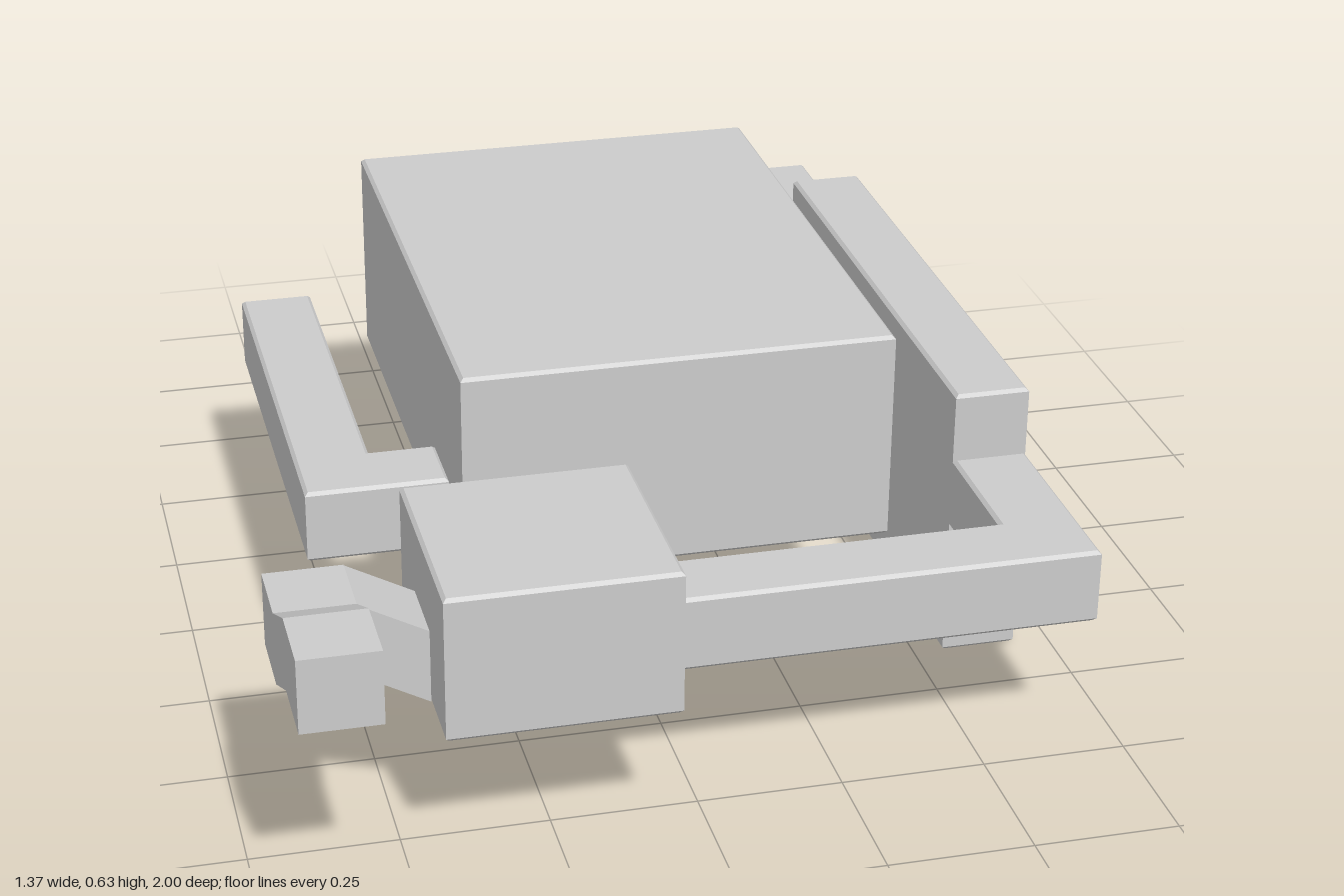
import * as THREE from 'three';

const BEVEL = 0.006;
const material = new THREE.MeshStandardMaterial({ color: 0xcccccc, flatShading: true });

const outline = (points) => new THREE.Shape(points.map(([x, y]) => new THREE.Vector2(x, y)));

const rect = (x0, x1, z0, z1) => [[x0, z0], [x1, z0], [x1, z1], [x0, z1]];

export function createModel() {
  const model = new THREE.Group();

  const add = (name, geometry) => {
    const mesh = new THREE.Mesh(geometry, material);
    mesh.name = name;
    model.add(mesh);
  };

  // Plan outline in (x, z), raised from y0 to y1 with chamfered rims
  const slab = (name, points, y0, y1) => {
    const geometry = new THREE.ExtrudeGeometry(outline(points), {
      depth: y1 - y0 - 2 * BEVEL, bevelEnabled: true, bevelSegments: 1,
      bevelSize: BEVEL, bevelThickness: BEVEL, bevelOffset: -BEVEL,
    });
    add(name, geometry.rotateX(Math.PI / 2).translate(0, y1 - BEVEL, 0));
  };

  const LOW = 0.252, RAIL = 0.385, MID = 0.508;

  // Solid masses
  slab('mainBlock', rect(-0.316, 0.438, -0.628, 0.375), LOW, 0.634);
  slab('sideWall', rect(0.552, 0.685, -0.628, 0.375), 0, MID);
  slab('headBlock', rect(-0.442, -0.058, 0.49, 0.873), LOW, MID);

  // Rails joining the masses
  slab('backRail', [
    [0.18, -1], [0.685, -1], [0.685, -0.628], [0.552, -0.628],
    [0.552, -0.87], [0.312, -0.87], [0.312, -0.628], [0.18, -0.628],
  ], LOW, RAIL);
  slab('frontRail', [
    [0.552, 0.375], [0.685, 0.375], [0.685, 0.746], [-0.058, 0.746],
    [-0.058, 0.614], [0.552, 0.614],
  ], LOW, RAIL);
  slab('sideArm', [
    [-0.566, -0.57], [-0.434, -0.57], [-0.434, 0.115], [-0.316, 0.115],
    [-0.316, 0.248], [-0.566, 0.248],
  ], LOW, RAIL);

  // Slanted link rising from the head block, profile in (x, y)
  add('snoutLink', new THREE.ExtrudeGeometry(outline([
    [-0.442, LOW], [-0.442, 0.382], [-0.558, 0.445], [-0.558, 0.316],
  ]), { depth: 0.132, bevelEnabled: false }).translate(0, 0, 0.614));

  // Stepped tip, profile in (z, y)
  add('snoutTip', new THREE.ExtrudeGeometry(outline([
    [0.614, 0.316], [0.743, 0.316], [0.87, 0.38], [1, 0.38],
    [1, MID], [0.87, MID], [0.743, 0.445], [0.614, 0.445],
  ]), { depth: 0.132, bevelEnabled: false }).rotateY(-Math.PI / 2).translate(-0.556, 0, 0));

  return model;
}
